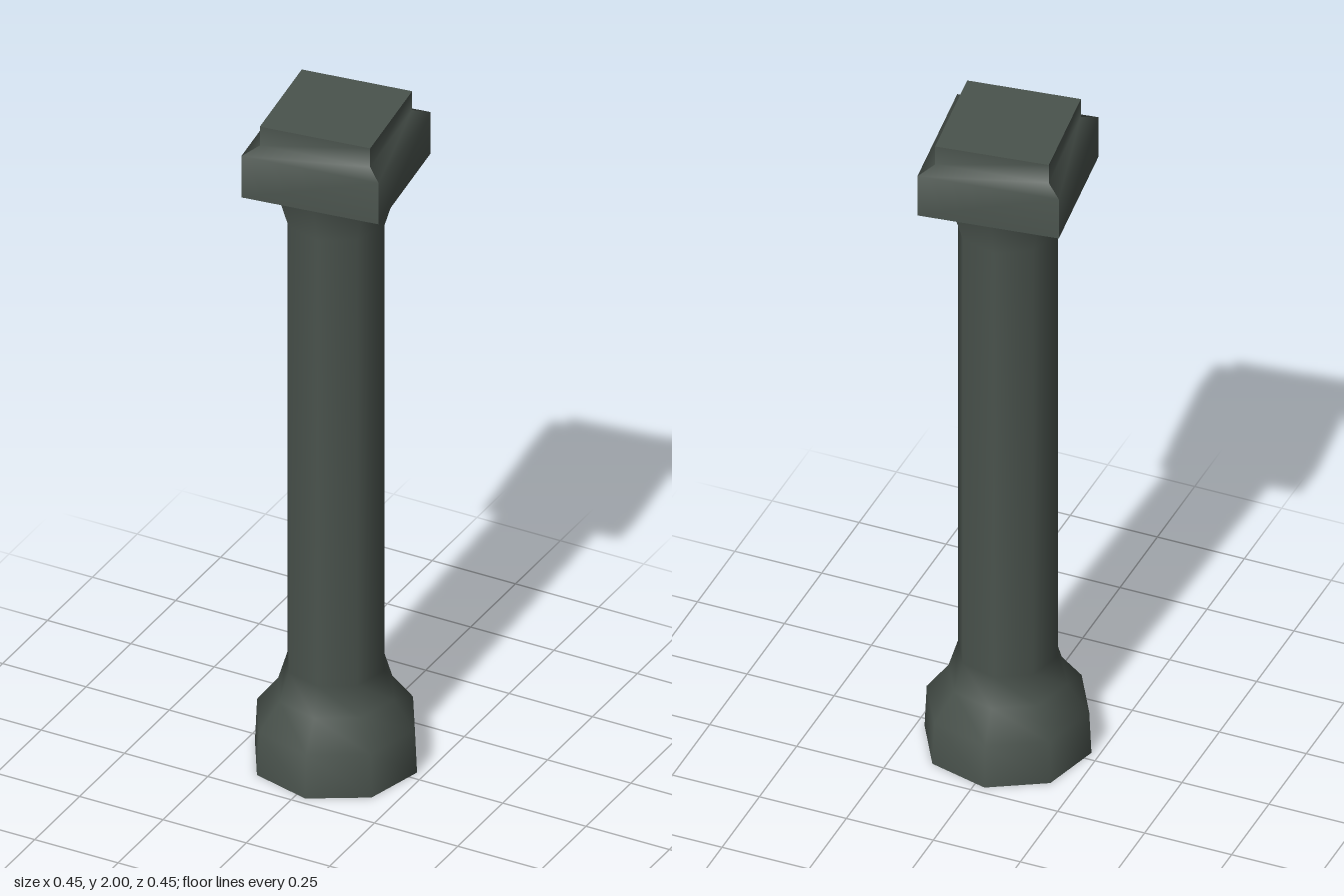
import * as THREE from 'three';

// One wall of the square capital: a strip of [halfWidth, y] rings, smooth up the
// profile and crisp at the corners.
function capitalWall(profile) {
  const pos = [], index = [];
  profile.forEach(([h, y], i) => {
    pos.push(-h, y, h, h, y, h);
    if (i > 0) {
      const a = (i - 1) * 2;
      index.push(a, a + 1, a + 3, a, a + 3, a + 2);
    }
  });
  const geo = new THREE.BufferGeometry();
  geo.setAttribute('position', new THREE.Float32BufferAttribute(pos, 3));
  geo.setIndex(index);
  geo.computeVertexNormals();
  return geo;
}

export function createModel() {
  const stone = new THREE.MeshStandardMaterial({ color: 0x4a534d });
  stone.name = 'dark green stone';

  const group = new THREE.Group();
  group.name = 'column';
  const add = (geo, name, parent) => {
    const mesh = new THREE.Mesh(geo, stone);
    mesh.name = name;
    parent.add(mesh);
    return mesh;
  };

  // The whole column is turned slightly about its axis
  const body = new THREE.Group();
  body.name = 'columnBody';
  body.rotation.y = THREE.MathUtils.degToRad(7.5);
  group.add(body);

  // Eight-sided shaft with flared base and neck
  const profile = [[0.229, 0], [0.223, 0.13], [0.163, 0.21], [0.137, 0.295], [0.137, 1.67], [0.176, 1.8]]
    .map(([r, y]) => new THREE.Vector2(r, y));
  add(new THREE.LatheGeometry(profile, 8), 'shaft', body);

  // Underside of the base
  add(new THREE.CircleGeometry(0.229, 8).rotateX(Math.PI / 2), 'baseUnderside', body);

  // Square capital: wide slab, sloped shoulder, narrower block on top
  const capital = new THREE.Group();
  capital.name = 'capital';
  body.add(capital);
  const wall = capitalWall([[0.194, 1.795], [0.194, 1.922], [0.156, 1.942], [0.156, 2]]);
  for (let i = 0; i < 4; i++) {
    add(wall, 'capitalWall', capital).rotation.y = i * Math.PI / 2;
  }
  add(new THREE.PlaneGeometry(0.312, 0.312).rotateX(-Math.PI / 2).translate(0, 2, 0), 'capitalTop', capital);
  add(new THREE.PlaneGeometry(0.388, 0.388).rotateX(Math.PI / 2).translate(0, 1.795, 0), 'capitalUnderside', capital);

  return group;
}
